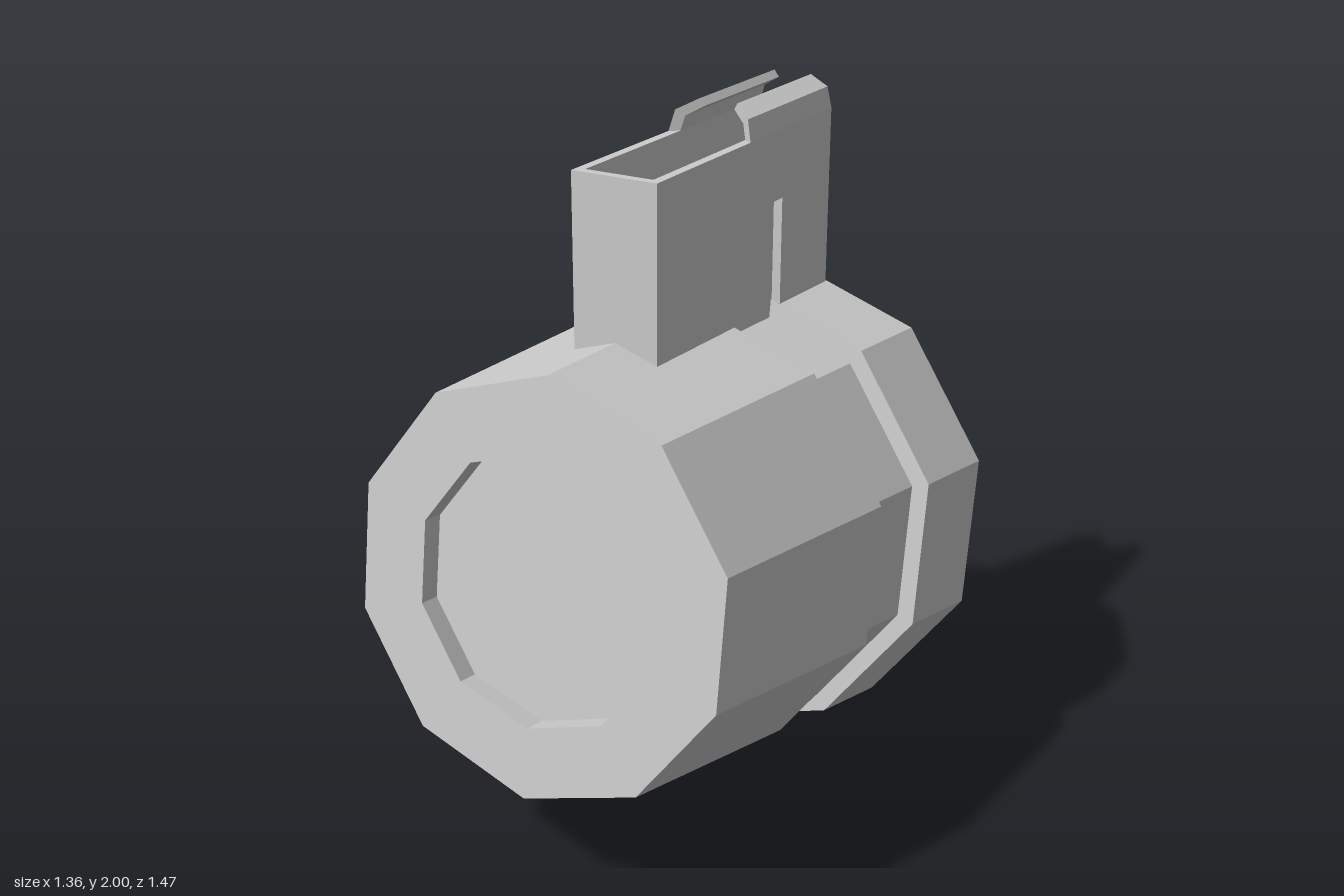
import * as THREE from 'three';

const material = new THREE.MeshStandardMaterial({ color: 0xcccccc, flatShading: true });

export function createModel() {
  const model = new THREE.Group();
  const add = (name, geometry, x = 0, y = 0, z = 0) => {
    const mesh = new THREE.Mesh(geometry, material);
    mesh.name = name;
    mesh.position.set(x, y, z);
    model.add(mesh);
    return mesh;
  };

  // Ten-sided tapered barrel with a groove and a recess in each end, tilted upward
  const profile = [
    [0, 0.06], [0.545, 0.06], [0.545, 0], [0.717, 0],
    [0.688, 0.308], [0.636, 0.308], [0.613, 0.57], [0.66, 0.57],
    [0.587, 1.307], [0.382, 1.307], [0.382, 1.242], [0, 1.242],
  ].map(([r, s]) => new THREE.Vector2(r, s));
  const barrel = new THREE.LatheGeometry(profile, 10).toNonIndexed();
  barrel.rotateX(Math.PI / 2 - 0.138);
  add('barrel', barrel, 0, 0.711, -0.635);

  // Open-topped mount: dimensions
  const half = 0.13, wall = 0.027, bottom = 1.34, top = 1.91;
  const back = -0.72, front = 0.26;
  const winBack = -0.425, winFront = -0.155, winTop = 1.71;

  // Side walls, notched by a window that runs down into the barrel
  const outline = new THREE.Shape([
    [back, bottom], [winBack, bottom], [winBack, winTop], [winFront, winTop],
    [winFront, bottom], [front, bottom], [front, top], [back, top],
  ].map(([z, y]) => new THREE.Vector2(z, y)));
  const side = new THREE.ExtrudeGeometry(outline, { depth: wall, bevelEnabled: false });
  side.rotateY(-Math.PI / 2);
  add('mountLeftWall', side, half);
  add('mountRightWall', side, -half + wall);

  // End walls
  const end = new THREE.BoxGeometry(2 * (half - wall), top - bottom, wall);
  add('mountFrontWall', end, 0, (top + bottom) / 2, front - wall / 2);
  add('mountBackWall', end, 0, (top + bottom) / 2, back + wall / 2);

  // Panels set behind the windows
  const panel = new THREE.BoxGeometry(wall, winTop - bottom, winFront - winBack);
  for (const s of [1, -1]) {
    add('windowPanel', panel, s * (half - 1.5 * wall), (winTop + bottom) / 2, (winFront + winBack) / 2);
  }

  // Inward-curling clip lips with slanted front ends
  for (const s of [1, -1]) {
    const lip = new THREE.Shape([
      [0.13, 1.91], [0.115, 1.97], [0.06, 2.0], [0.045, 1.98], [0.092, 1.952], [0.103, 1.91],
    ].map(([x, y]) => new THREE.Vector2(s * x, y)));
    const clip = new THREE.ExtrudeGeometry(lip, { depth: 1, bevelEnabled: false });
    const p = clip.attributes.position;
    for (let i = 0; i < p.count; i++) {
      const tip = -0.23 - (half - Math.abs(p.getX(i))) * 0.7;
      p.setZ(i, p.getZ(i) > 0.5 ? tip : back);
    }
    clip.computeVertexNormals();
    add(s > 0 ? 'leftClip' : 'rightClip', clip);
  }

  return model;
}
